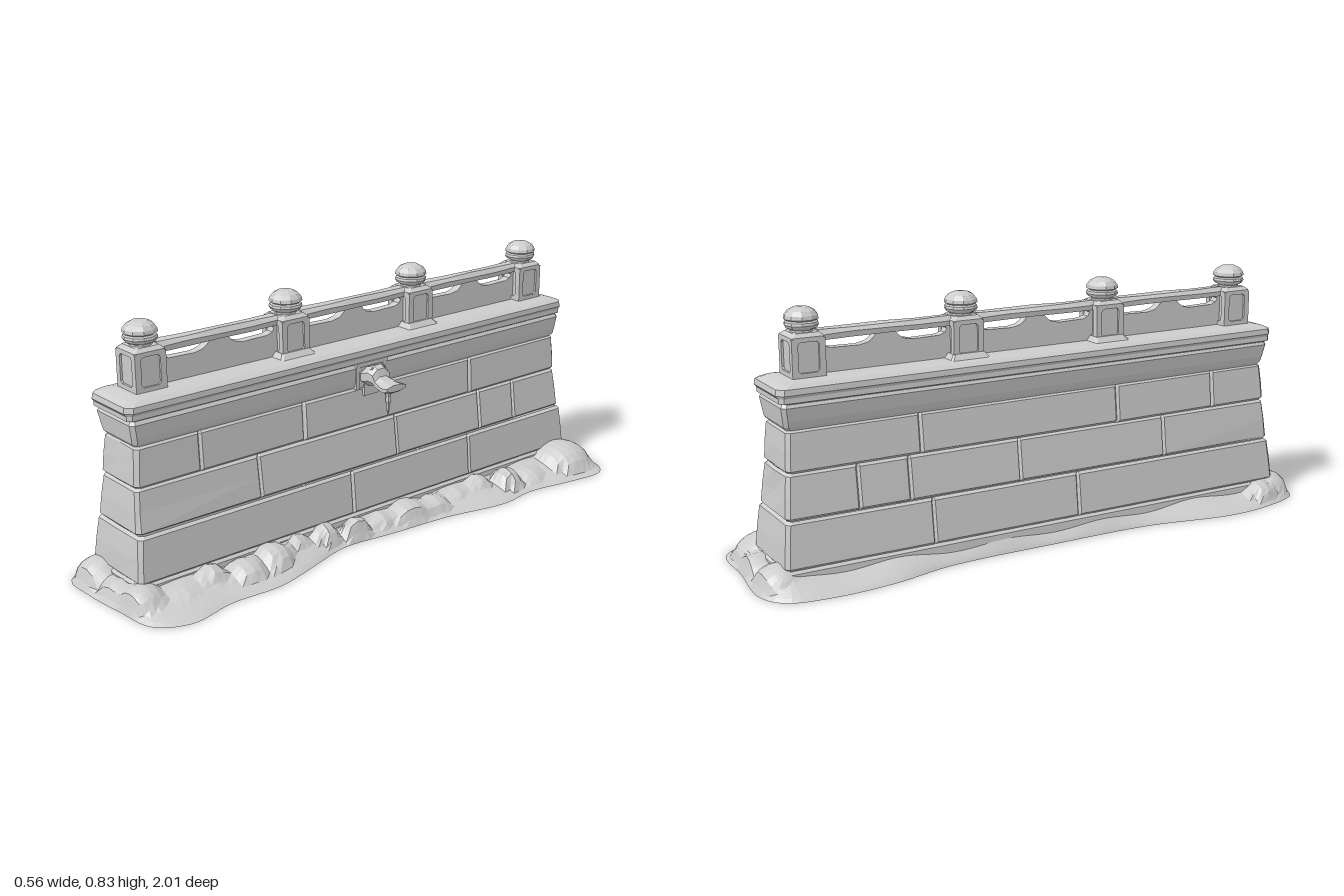
import * as THREE from 'three';

const stone = new THREE.MeshStandardMaterial({ color: 0xcccccc, side: THREE.DoubleSide, flatShading: true });
stone.name = 'pale stone';

// repeatable noise in -1..1
const noise = (a, b, c = 0) => {
  const s = Math.sin(a * 127.1 + b * 311.7 + c * 74.7) * 43758.5453;
  return (s - Math.floor(s)) * 2 - 1;
};

const mesh = (name, geometry, parent) => {
  const m = new THREE.Mesh(geometry, stone);
  m.name = name;
  parent.add(m);
  return m;
};

// skin between closed rings that have equal point counts
function loft(rings) {
  const n = rings[0].length;
  const pos = rings.flat().flat();
  const index = [];
  for (let i = 0; i < rings.length - 1; i++) {
    for (let j = 0; j < n; j++) {
      const a = i * n + j, b = i * n + (j + 1) % n;
      index.push(a, b, b + n, a, b + n, a + n);
    }
  }
  const g = new THREE.BufferGeometry();
  g.setAttribute('position', new THREE.Float32BufferAttribute(pos, 3));
  g.setIndex(index);
  g.computeVertexNormals();
  return g;
}

// rectangle with cut corners, in plan
function plan(x0, x1, z, y, cut) {
  return [[x0 + cut, z], [x1 - cut, z], [x1, z - cut], [x1, -z + cut],
    [x1 - cut, -z], [x0 + cut, -z], [x0, -z + cut], [x0, z - cut]].map(([x, w]) => [x, y, w]);
}

// one masonry course: bevelled top and bottom, grooves at the vertical joints
function course({ y, left, right, end, joints }, k) {
  const [y0, y1] = y, bevel = 0.008, depth = 0.009;
  const ring = (t, inset) => {
    const h = y0 + (y1 - y0) * t;
    const l = left[0] + (left[1] - left[0]) * t + inset;
    const r = right[0] + (right[1] - right[0]) * t - inset;
    const e = end[0] + (end[1] - end[0]) * t - inset;
    const c = 0.012, side = [];
    // down the +x side, each joint being a small V
    side.push([e - c, 0]);
    for (const z of joints) side.push([z + 0.007, 0], [z, depth], [z - 0.007, 0]);
    side.push([-e + c, 0]);
    const wobble = z => 0.002 * noise(Math.round(z * 50), k);
    return [
      [l + c, h, e], [(l + r) / 2, h, e + 0.004 * noise(k, t)], [r - c, h, e],
      ...side.map(([z, d]) => [r - Math.max(0, d - inset) + wobble(z), h, z]),
      [r - c, h, -e], [(l + r) / 2, h, -e + 0.004 * noise(k, t, 2)], [l + c, h, -e],
      ...[...side].reverse().map(([z, d]) => [l + Math.max(0, d - inset) + wobble(z), h, z]),
    ];
  };
  const b = bevel / (y1 - y0);
  return loft([ring(0, depth), ring(b, 0), ring(0.5, -0.001), ring(1 - b, 0), ring(1, depth)]);
}

function createWall(root) {
  const wall = new THREE.Group();
  wall.name = 'wall';
  root.add(wall);
  const courses = [
    { y: [0, 0.066], left: [-0.185, -0.18], right: [0.1, 0.096], end: [0.925, 0.922], joints: [] },
    { y: [0.066, 0.213], left: [-0.18, -0.162], right: [0.096, 0.083], end: [0.922, 0.907], joints: [0.1, -0.43] },
    { y: [0.213, 0.354], left: [-0.158, -0.14], right: [0.073, 0.055], end: [0.907, 0.893], joints: [0.455, -0.11, -0.5, -0.67] },
    { y: [0.354, 0.483], left: [-0.145, -0.131], right: [0.057, 0.05], end: [0.895, 0.885], joints: [0.665, 0.27, -0.455] },
  ];
  courses.forEach((c, k) => mesh('stoneCourse' + (k + 1), course(c, k), wall));

  // frieze and coping: [y, left, right, end, corner cut]
  const frieze = [[0.481, -0.126, 0.044, 0.88, 0.01], [0.492, -0.132, 0.053, 0.89, 0.012],
    [0.51, -0.137, 0.056, 0.893, 0.012], [0.553, -0.145, 0.06, 0.9, 0.012], [0.566, -0.138, 0.052, 0.893, 0.012]];
  const coping = [[0.562, -0.138, 0.05, 0.89, 0.012], [0.568, -0.149, 0.06, 0.907, 0.012], [0.583, -0.148, 0.06, 0.907, 0.012],
    [0.592, -0.153, 0.066, 0.915, 0.02], [0.61, -0.151, 0.065, 0.912, 0.02],
    [0.62, -0.135, 0.045, 0.89, 0.02], [0.626, -0.105, 0.015, 0.86, 0.02]];
  const rings = p => p.map(([y, l, r, e, c]) => plan(l, r, e, y, c));
  mesh('frieze', loft(rings(frieze)), wall);
  mesh('coping', loft([...rings(coping), Array(8).fill([-0.045, 0.626, 0])]), wall);
}

const railX = -0.045;
const postZ = [0.793, 0.264, -0.264, -0.793];

function createPost(z, inner) {
  const post = new THREE.Group();
  post.name = 'post';
  post.position.set(railX, 0, z);

  // core and bevelled head
  const sq = (w, y) => plan(-w, w, w, y, 0.006);
  mesh('postCore', loft([sq(0.046, 0.61), sq(0.046, 0.745)]), post);
  mesh('postHead', loft([sq(0.053, 0.738), sq(0.053, 0.746), sq(0.04, 0.757), Array(8).fill([0, 0.757, 0])]), post);
  if (inner) mesh('postFoot', loft([sq(0.072, 0.62), sq(0.054, 0.642), sq(0.046, 0.642)]), post);

  // framed panel on each face
  const frame = new THREE.Shape([[-0.053, 0.615], [0.053, 0.615], [0.053, 0.742], [-0.053, 0.742]].map(p => new THREE.Vector2(...p)));
  const hole = [[-0.026, 0.64], [0.026, 0.64], [0.033, 0.648], [0.033, 0.724], [0.026, 0.732], [-0.026, 0.732], [-0.033, 0.724], [-0.033, 0.648]];
  frame.holes.push(new THREE.Path(hole.map(p => new THREE.Vector2(...p))));
  const g = new THREE.ExtrudeGeometry(frame, { depth: 0.008, bevelEnabled: false }).translate(0, 0, 0.045);
  for (let i = 0; i < 4; i++) mesh('postPanelFrame', g, post).rotation.y = i * Math.PI / 2;

  // banded ball finial
  const profile = [[0.036, 0.754], [0.034, 0.762], [0.048, 0.769], [0.053, 0.778], [0.051, 0.786], [0.045, 0.79],
    [0.053, 0.795], [0.051, 0.806], [0.041, 0.819], [0.024, 0.828], [0, 0.83]];
  mesh('finial', new THREE.LatheGeometry(profile.map(p => new THREE.Vector2(...p)), 10), post);
  return post;
}

function createRailing(root) {
  const railing = new THREE.Group();
  railing.name = 'railing';
  root.add(railing);
  postZ.forEach((z, i) => railing.add(createPost(z, i === 1 || i === 2)));

  // pierced panel with two slots and a thicker rail above
  const half = 0.22;
  const shape = new THREE.Shape([[-half, 0.615], [half, 0.615], [half, 0.74], [-half, 0.74]].map(p => new THREE.Vector2(...p)));
  for (const s of [-1, 1]) {
    const slot = [[0.033, 0.727], [0.2, 0.727], [0.207, 0.72], [0.2, 0.707], [0.18, 0.7], [0.09, 0.698], [0.06, 0.704], [0.045, 0.714]];
    shape.holes.push(new THREE.Path(slot.map(([a, y]) => new THREE.Vector2(a * s, y))));
  }
  const panel = new THREE.ExtrudeGeometry(shape, { depth: 0.03, bevelEnabled: false }).translate(0, 0, -0.015).rotateY(Math.PI / 2);
  const railRings = [-half, -0.11, 0, 0.11, half].map((z, i) => [[-0.025, 0.728], [0.025, 0.728], [0.027, 0.744],
    [0.016, 0.758], [-0.016, 0.758], [-0.027, 0.744]].map(([x, y]) => [x, y + 0.002 * noise(i, x), z]));
  const rail = loft(railRings);
  for (let i = 0; i < 3; i++) {
    const z = (postZ[i] + postZ[i + 1]) / 2;
    mesh('piercedPanel', panel, railing).position.set(railX, 0, z);
    mesh('topRail', rail, railing).position.set(railX, 0, z);
  }
}

function createSpout(root) {
  const spout = new THREE.Group();
  spout.name = 'waterSpout';
  root.add(spout);
  // bracket frame on the wall
  const box = (name, w, h, d, x, y, z) => mesh(name, new THREE.BoxGeometry(w, h, d).translate(x, y, z), spout);
  box('spoutPlate', 0.02, 0.085, 0.1, 0.048, 0.525, 0);
  box('spoutFrameTop', 0.03, 0.014, 0.13, 0.05, 0.562, 0);
  for (const s of [-1, 1]) box('spoutFrameSide', 0.028, 0.085, 0.014, 0.048, 0.522, s * 0.056);
  box('spoutFoot', 0.024, 0.04, 0.06, 0.05, 0.474, 0);

  // head and flared lip: [x, centre y, half height, half width]
  const section = ([x, cy, h, w]) => Array.from({ length: 8 }, (_, i) => {
    const a = (i + 0.5) * Math.PI / 4;
    return [x, cy + h * Math.sin(a) * 1.08, w * Math.cos(a) * 1.08];
  });
  const body = [[0.045, 0.52, 0.028, 0.04], [0.07, 0.522, 0.032, 0.046], [0.09, 0.528, 0.034, 0.04], [0.108, 0.522, 0.03, 0.036],
    [0.116, 0.508, 0.02, 0.034], [0.145, 0.502, 0.015, 0.04], [0.172, 0.502, 0.015, 0.045], [0.185, 0.506, 0.011, 0.04], [0.185, 0.506, 0, 0]];
  mesh('spoutBody', loft(body.map(section)), spout);
  for (const s of [-1, 1]) {
    const ear = mesh('spoutEar', new THREE.ConeGeometry(0.012, 0.03, 5), spout);
    ear.position.set(0.09, 0.55, s * 0.025);
    ear.rotation.z = -0.8;
  }
  // icicle
  const drip = [[0, 0.403], [0.005, 0.42], [0.006, 0.44], [0.011, 0.455], [0.009, 0.468], [0.014, 0.495]];
  mesh('icicle', new THREE.LatheGeometry(drip.map(p => new THREE.Vector2(...p)), 6).translate(0.144, 0, 0), spout);
}

// lumpy drift around the foot, open underneath
function createDrift(root) {
  const hem = [[-0.2, 0.99], [-0.08, 1], [0.08, 0.985], [0.22, 0.96], [0.275, 0.86], [0.245, 0.7], [0.25, 0.52], [0.205, 0.35],
    [0.165, 0.2], [0.185, 0], [0.205, -0.22], [0.25, -0.45], [0.235, -0.6], [0.265, -0.78], [0.275, -0.92], [0.22, -0.975],
    [0.05, -0.985], [-0.16, -1], [-0.24, -0.95], [-0.27, -0.8], [-0.258, -0.6], [-0.215, -0.4], [-0.21, 0], [-0.22, 0.35],
    [-0.275, 0.65], [-0.265, 0.82]];
  const curve = new THREE.CatmullRomCurve3(hem.map(([x, z]) => new THREE.Vector3(x, 0, z)), true);
  const points = curve.getSpacedPoints(170).slice(0, -1);

  // rounded lumps [x, z, radius, height], along the +x side and both ends
  const lumps = [[-0.13, 0.92, 0.09, 0.085], [0, 0.93, 0.07, 0.06], [-0.18, 0.85, 0.07, 0.07], [0.1, 0.92, 0.08, 0.075],
    [-0.12, -0.92, 0.09, 0.08], [0.03, -0.93, 0.08, 0.065], [0.13, -0.86, 0.12, 0.095]];
  for (let i = 0; i < 15; i++) {
    lumps.push([0.12 + 0.03 * noise(i, 3), 0.8 - i * 0.113, 0.075 + 0.02 * noise(i, 5), 0.062 + 0.02 * noise(i, 8)]);
  }
  const rings = [];
  for (let i = 0; i <= 8; i++) {
    const t = i / 8;
    rings.push(points.map(p => {
      const ix = THREE.MathUtils.clamp(p.x, -0.168, 0.085), iz = THREE.MathUtils.clamp(p.z, -0.91, 0.91);
      const x = p.x + (ix - p.x) * t, z = p.z + (iz - p.z) * t;
      let y = 0.05 * Math.pow(t, 0.8) + 0.008 * t * Math.sin(z * 17 + x * 9);
      for (const [lx, lz, r, h] of lumps) {
        const d = ((x - lx) ** 2 + (z - lz) ** 2) / (r * r);
        if (d < 1) y = Math.max(y, h * Math.sqrt(1 - d) * Math.min(1, t * 4));
      }
      return [x, i ? y : 0, z];
    }));
  }
  mesh('drift', loft(rings), root);
}

export function createModel() {
  const root = new THREE.Group();
  root.name = 'balustradedWall';
  createWall(root);
  createRailing(root);
  createSpout(root);
  createDrift(root);
  return root;
}
